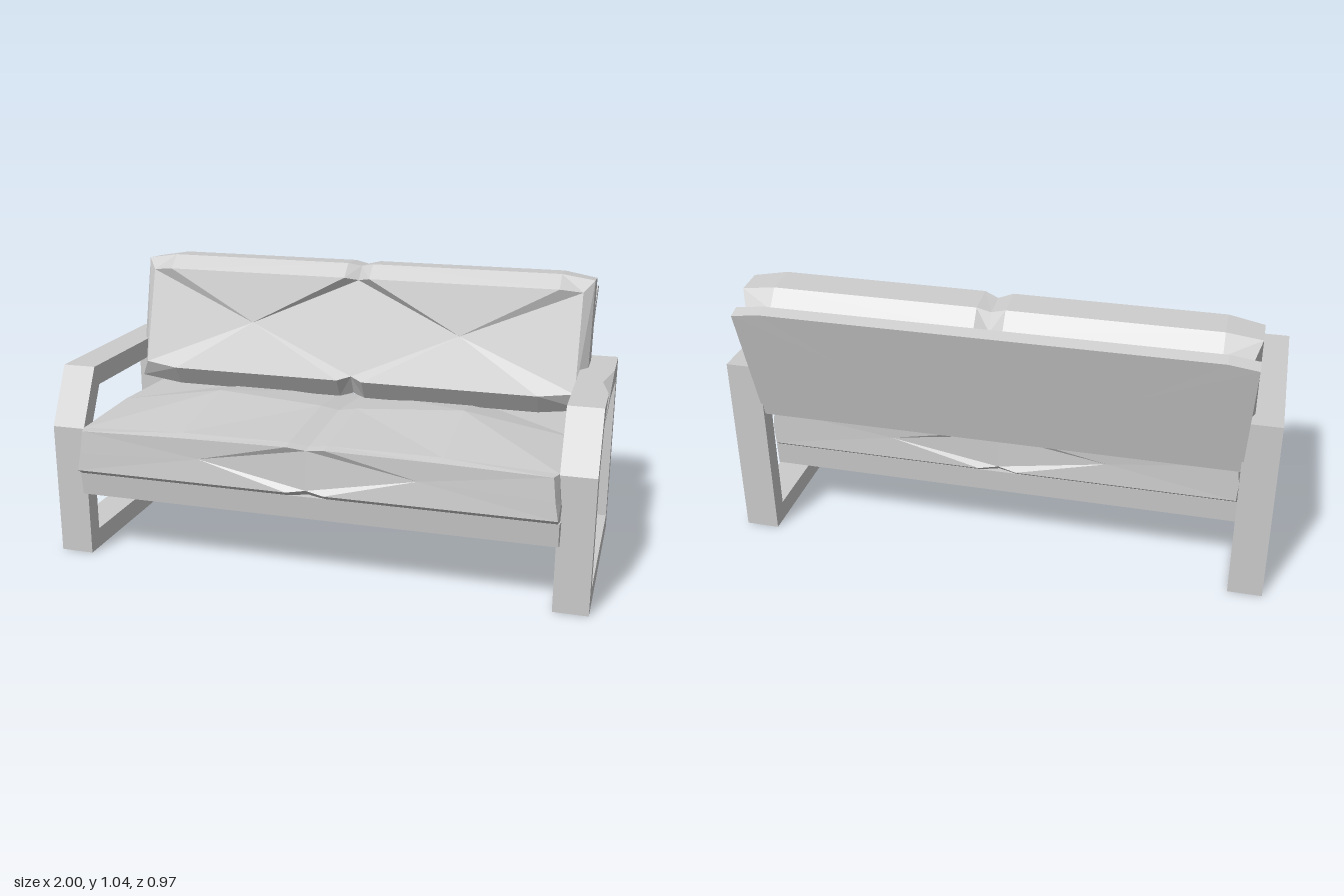
import * as THREE from 'three';

const material = new THREE.MeshStandardMaterial({ color: 0xcccccc, flatShading: true });

function addMesh(parent, name, geometry) {
  const mesh = new THREE.Mesh(geometry, material);
  mesh.name = name;
  parent.add(mesh);
  return mesh;
}

// Skins cross-sections from front to back. Each section is a half outline
// [x, y, z] from centre top round the +x side to centre bottom; -x is mirrored.
function mirroredLoft(rings) {
  const positions = [];
  const flip = ([x, y, z]) => [-x, y, z];
  const tri = (a, b, c) => positions.push(...a, ...b, ...c, ...flip(a), ...flip(c), ...flip(b));
  for (let r = 0; r < rings.length - 1; r++) {
    const front = rings[r], back = rings[r + 1];
    for (let i = 0; i < front.length - 1; i++) {
      tri(front[i], front[i + 1], back[i]);
      tri(front[i + 1], back[i + 1], back[i]);
    }
  }
  const cap = (ring, isFront) => {
    const centre = [0, 1, 2].map((k) => ring.reduce((sum, p) => sum + p[k], 0) / ring.length);
    ring.forEach((p, i) => {
      const q = ring[(i + 1) % ring.length];
      if (isFront) tri(centre, q, p);
      else tri(centre, p, q);
    });
  };
  cap(rings[0], true);
  cap(rings[rings.length - 1], false);
  const geometry = new THREE.BufferGeometry();
  geometry.setAttribute('position', new THREE.Float32BufferAttribute(positions, 3));
  geometry.computeVertexNormals();
  return geometry;
}

// Closed side frame with a sloped front corner; drawn in (z, y), extruded along x
function armFrame(side) {
  const toPoints = (list) => list.map(([z, y]) => new THREE.Vector2(-z, y));
  const shape = new THREE.Shape(toPoints([
    [0.43, 0], [-0.38, 0], [-0.38, 0.71], [-0.18, 0.71], [0, 0.71], [0.14, 0.71], [0.32, 0.71], [0.43, 0.5],
  ]));
  shape.holes.push(new THREE.Path(toPoints([
    [0.365, 0.075], [0.365, 0.495], [0.29, 0.635], [0, 0.635], [-0.315, 0.635], [-0.315, 0.075],
  ])));
  const geometry = new THREE.ExtrudeGeometry(shape, { depth: 0.125, bevelEnabled: false });
  geometry.rotateY(Math.PI / 2);
  geometry.translate(side > 0 ? 0.875 : -1, 0, 0);
  // Small dent in the outer edge of the left armrest
  if (side > 0) {
    const p = geometry.attributes.position;
    for (let i = 0; i < p.count; i++) {
      if (p.getX(i) < 0.99 || Math.abs(p.getZ(i)) > 0.01) continue;
      if (p.getY(i) > 0.7) p.setX(i, 0.97);
      else if (p.getY(i) > 0.6) p.setY(i, 0.655);
    }
  }
  geometry.computeVertexNormals();
  return geometry;
}

// Seat cushion section: crowned top, bulging side, pinched centre seam
function seatRing({ zTop, zBottom, top, crown, edge, edgeX, sideX, sideY, bottomX, bottom, pinch = 0 }) {
  const point = (x, y) => [x, y, THREE.MathUtils.mapLinear(y, bottom, top, zBottom, zTop)];
  const seamTop = point(0, top - 0.012), seamBottom = point(0, bottom + 0.008);
  seamTop[2] -= pinch;
  seamBottom[2] -= pinch;
  return [
    seamTop, [0.07, top, zTop], [0.48, crown, zTop], [edgeX, edge, zTop], point(sideX, sideY),
    [bottomX, bottom, zBottom], [0.07, bottom, zBottom], seamBottom,
  ];
}

// Back cushion section, leaning with its top further back
function backRing({ zTop, top, zBottom, bottom, innerX, outerX, drop, inset, pinch }) {
  return [
    [0, top - 0.012, zTop - pinch], [0.05, top, zTop], [innerX, top, zTop],
    [outerX, top - drop, zTop - inset], [outerX, bottom + drop, zBottom - inset],
    [innerX - 0.05, bottom, zBottom], [0.05, bottom, zBottom], [0, bottom + 0.012, zBottom - pinch],
  ];
}

export function createModel() {
  const sofa = new THREE.Group();
  sofa.name = 'sofa';

  addMesh(sofa, 'leftArmFrame', armFrame(1));
  addMesh(sofa, 'rightArmFrame', armFrame(-1));

  // Seat base with a slightly sagging underside
  const baseRing = (zTop, zBottom, x, top, bottom) => [
    [0, top, zTop], [x, top, zTop], [x, bottom, zBottom], [0, bottom, zBottom],
  ];
  addMesh(sofa, 'seatBase', mirroredLoft([
    baseRing(0.455, 0.445, 0.885, 0.335, 0.248),
    baseRing(0.05, 0.05, 0.95, 0.335, 0.233),
    baseRing(-0.295, -0.29, 0.88, 0.335, 0.247),
  ]));

  addMesh(sofa, 'seatCushion', mirroredLoft([
    { zTop: 0.47, zBottom: 0.482, top: 0.52, crown: 0.515, edge: 0.505, edgeX: 0.86,
      sideX: 0.87, sideY: 0.42, bottomX: 0.882, bottom: 0.355, pinch: 0.015 },
    { zTop: 0.43, zBottom: 0.45, top: 0.525, crown: 0.523, edge: 0.505, edgeX: 0.875,
      sideX: 0.885, sideY: 0.4, bottomX: 0.88, bottom: 0.332, pinch: 0.01 },
    { zTop: 0.05, zBottom: 0.05, top: 0.548, crown: 0.576, edge: 0.507, edgeX: 0.89,
      sideX: 0.975, sideY: 0.39, bottomX: 0.95, bottom: 0.32 },
    { zTop: -0.27, zBottom: -0.29, top: 0.515, crown: 0.515, edge: 0.503, edgeX: 0.875,
      sideX: 0.885, sideY: 0.4, bottomX: 0.875, bottom: 0.332, pinch: -0.01 },
    { zTop: -0.312, zBottom: -0.314, top: 0.503, crown: 0.502, edge: 0.498, edgeX: 0.865,
      sideX: 0.875, sideY: 0.42, bottomX: 0.87, bottom: 0.352, pinch: -0.015 },
  ].map(seatRing)));

  addMesh(sofa, 'backCushion', mirroredLoft([
    { zTop: -0.196, top: 0.997, zBottom: -0.085, bottom: 0.612, innerX: 0.78, outerX: 0.865,
      drop: 0.012, inset: 0.025, pinch: 0.03 },
    { zTop: -0.255, top: 1.045, zBottom: -0.137, bottom: 0.535, innerX: 0.78, outerX: 0.903,
      drop: 0.02, inset: 0.01, pinch: 0.02 },
    { zTop: -0.375, top: 1.037, zBottom: -0.28, bottom: 0.505, innerX: 0.78, outerX: 0.903,
      drop: 0.02, inset: -0.01, pinch: 0 },
    { zTop: -0.425, top: 0.975, zBottom: -0.31, bottom: 0.51, innerX: 0.78, outerX: 0.88,
      drop: 0.015, inset: -0.015, pinch: -0.02 },
  ].map(backRing)));

  // Thin leaning panel behind the back cushion
  const panelRing = (zTop, top, zBottom, bottom) => [
    [0, top, zTop], [0.8, top, zTop], [0.903, top - 0.015, zTop + 0.003],
    [0.88, bottom, zBottom], [0, bottom, zBottom],
  ];
  addMesh(sofa, 'backPanel', mirroredLoft([
    panelRing(-0.438, 0.99, -0.315, 0.5),
    panelRing(-0.483, 0.977, -0.368, 0.51),
  ]));

  return sofa;
}
